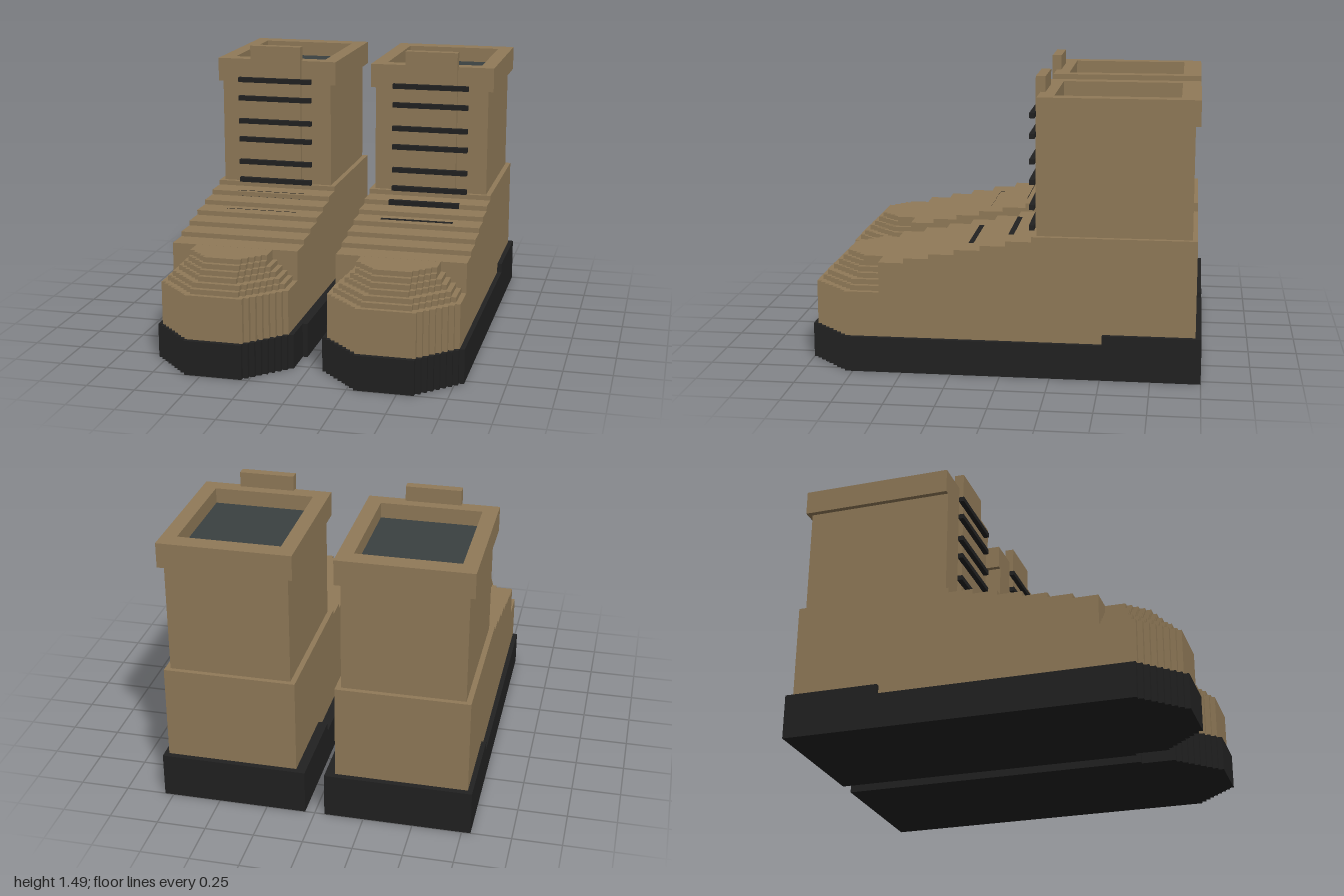
import * as THREE from 'three';

const leather = new THREE.MeshStandardMaterial({ color: 0x907a58 });
leather.name = 'tan leather';
const rubber = new THREE.MeshStandardMaterial({ color: 0x212121 });
rubber.name = 'black rubber';
const liningGrey = new THREE.MeshStandardMaterial({ color: 0x3a4040 });
liningGrey.name = 'grey lining';

const STEP = 0.0262;

function addMesh(parent, name, geometry, material) {
  const mesh = new THREE.Mesh(geometry, material);
  mesh.name = name;
  parent.add(mesh);
  return mesh;
}

// Box given by its limits on each axis
function addBox(parent, name, material, [x0, x1], [y0, y1], [z0, z1]) {
  const mesh = addMesh(parent, name, new THREE.BoxGeometry(x1 - x0, y1 - y0, z1 - z0), material);
  mesh.position.set((x0 + x1) / 2, (y0 + y1) / 2, (z0 + z1) / 2);
  return mesh;
}

// Slab seen from above with staircase front corners, raised from y0 to y1
function toeSlab(halfWidth, steps, zBack, zFront, y0, y1) {
  const side = [[halfWidth, zBack]];
  for (let i = 0; i < steps; i++) {
    const x = halfWidth - i * STEP;
    const z = zFront - (steps - i) * STEP;
    side.push([x, z], [x - STEP, z]);
  }
  side.push([halfWidth - steps * STEP, zFront]);
  const mirrored = side.map(([x, z]) => [-x, z]).reverse();
  const shape = new THREE.Shape([...side, ...mirrored].map(([x, z]) => new THREE.Vector2(x, -z)));
  const geometry = new THREE.ExtrudeGeometry(shape, { depth: y1 - y0, bevelEnabled: false });
  return geometry.rotateX(-Math.PI / 2).translate(0, y0, 0);
}

// Side profile with a stair-stepped instep, extruded across the foot
function footGeometry(halfWidth) {
  const treads = [[-0.155, 0.718], [-0.027, 0.692], [0.1, 0.666], [0.23, 0.641],
    [0.358, 0.615], [0.485, 0.59], [0.613, 0.565]];
  const points = [new THREE.Vector2(-0.97, 0.15), new THREE.Vector2(-0.97, treads[0][1])];
  treads.forEach(([z, y], i) => {
    points.push(new THREE.Vector2(z, y));
    points.push(new THREE.Vector2(z, i + 1 < treads.length ? treads[i + 1][1] : 0.15));
  });
  const geometry = new THREE.ExtrudeGeometry(new THREE.Shape(points), { depth: halfWidth * 2, bevelEnabled: false });
  return geometry.rotateY(-Math.PI / 2).translate(halfWidth, 0, 0);
}

// Rectangular collar with the foot opening cut through it
function collarGeometry() {
  const rect = (x, z0, z1) => [[-x, -z1], [x, -z1], [x, -z0], [-x, -z0]].map((p) => new THREE.Vector2(...p));
  const shape = new THREE.Shape(rect(0.335, -0.97, -0.18));
  shape.holes.push(new THREE.Path(rect(0.258, -0.875, -0.26).reverse()));
  const geometry = new THREE.ExtrudeGeometry(shape, { depth: 0.128, bevelEnabled: false });
  return geometry.rotateX(-Math.PI / 2).translate(0, 1.282, 0);
}

function createBoot(side) {
  const boot = new THREE.Group();
  boot.name = side > 0 ? 'leftBoot' : 'rightBoot';
  boot.position.x = side * 0.435;

  // Sole: the part behind the toes is a little wider on the inner side
  const soleX = [-0.3725 - side * 0.0125, 0.3725 - side * 0.0125];
  addBox(boot, 'heel', rubber, soleX, [0, 0.23], [-1, -0.51]);
  addBox(boot, 'soleMiddle', rubber, soleX, [0, 0.18], [-0.51, 0.613]);
  addMesh(boot, 'soleToe', toeSlab(0.36, 8, 0.613, 1, 0, 0.18), rubber);

  // Foot and layered toe cap
  addMesh(boot, 'foot', footGeometry(0.335), leather);
  const cornerSteps = [7, 7, 6, 6, 5, 4, 4];
  cornerSteps.forEach((steps, i) => {
    const y0 = i === 0 ? 0.18 : 0.41 + (i - 1) * 0.0258;
    const halfWidth = 0.335 - Math.min(i, 5) * STEP;
    addMesh(boot, 'toeCapLayer', toeSlab(halfWidth, steps, 0.6, 0.975 - i * 0.0258, y0, 0.41 + i * 0.0258), leather);
  });

  // Shaft, collar, lining and tongue
  addBox(boot, 'shaft', leather, [-0.308, 0.308], [0.7, 1.282], [-0.945, -0.18]);
  addMesh(boot, 'collar', collarGeometry(), leather);
  addBox(boot, 'lining', liningGrey, [-0.258, 0.258], [1.28, 1.33], [-0.875, -0.26]);
  addBox(boot, 'tongue', leather, [-0.142, 0.142], [0.7, 1.488], [-0.205, -0.156]);

  // Laces across the shaft, then two sunk into the instep
  for (const y of [1.3, 1.197, 1.068, 0.965, 0.837, 0.734]) {
    addBox(boot, 'shaftLace', rubber, [-0.206, 0.206], [y - 0.0128, y + 0.0128], [-0.157, -0.13]);
  }
  addBox(boot, 'instepLace', rubber, [-0.2, 0.185].map((x) => x * side), [0.668, 0.694], [-0.052, -0.025])
    .name = 'upperInstepLace';
  addBox(boot, 'lowerInstepLace', rubber, [-0.2, 0.185].map((x) => x * side), [0.62, 0.643], [0.153, 0.178]);
  return boot;
}

export function createModel() {
  const model = new THREE.Group();
  model.name = 'pairOfBoots';
  for (const side of [1, -1]) model.add(createBoot(side));
  return model;
}
